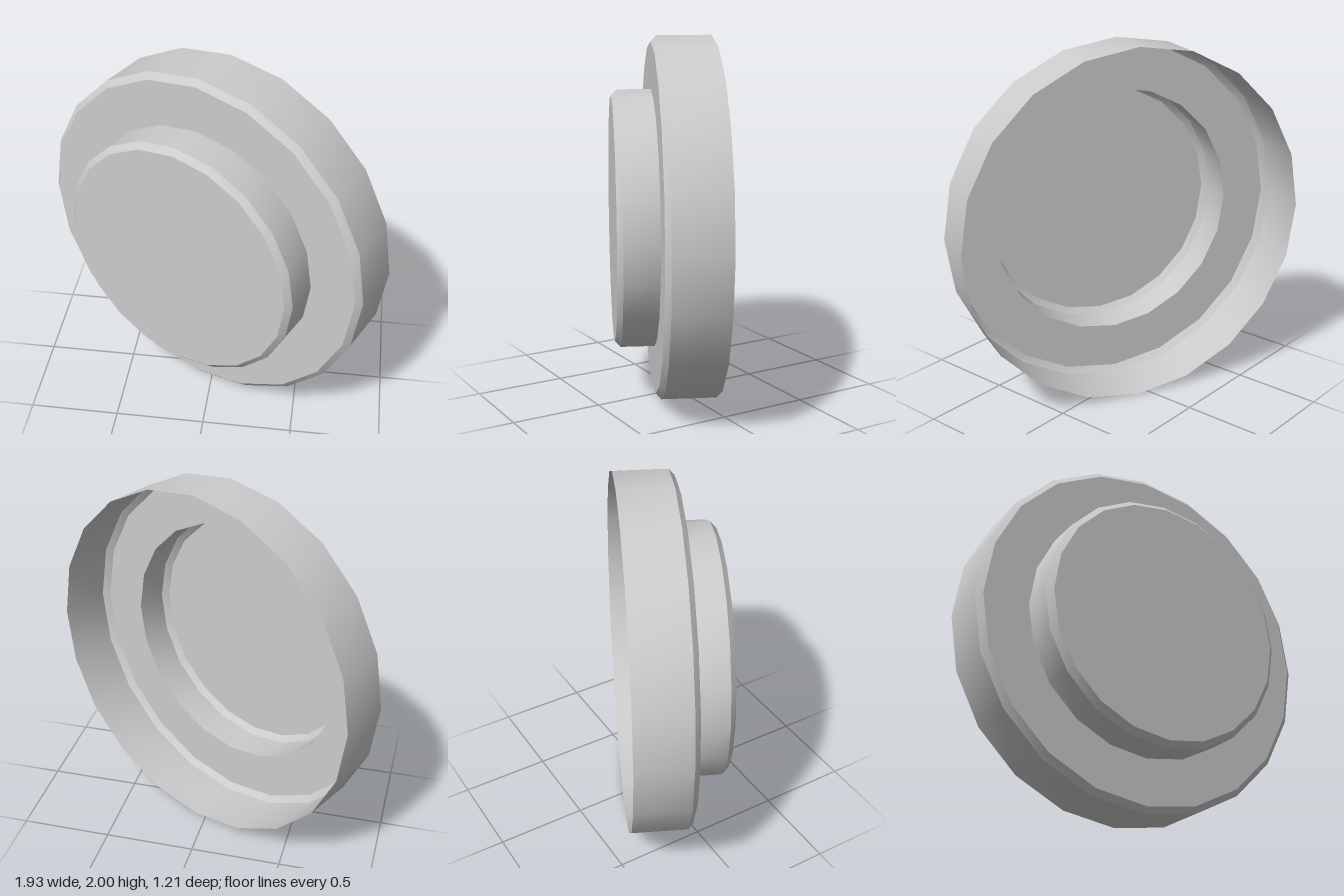
import * as THREE from 'three';
import { toCreasedNormals } from 'three/addons/utils/BufferGeometryUtils.js';

const SIDES = 20;

export function createModel() {
  const model = new THREE.Group();
  const material = new THREE.MeshStandardMaterial({ color: 0xcccccc, side: THREE.DoubleSide });

  // The whole cap is turned about the vertical axis
  const cap = new THREE.Group();
  cap.name = 'steppedCap';
  cap.position.set(-0.02, 1, -0.01);
  cap.rotation.y = THREE.MathUtils.degToRad(-25.5);
  model.add(cap);

  // Thin turned shell; profile points are [radius, depth towards the front]
  const addShell = (name, profile) => {
    const lathe = new THREE.LatheGeometry(profile.map(([r, d]) => new THREE.Vector2(r, d)), SIDES);
    lathe.rotateX(Math.PI / 2);
    const mesh = new THREE.Mesh(toCreasedNormals(lathe, 0.5), material);
    mesh.name = name;
    cap.add(mesh);
  };

  // Wide rim, open at the back, with a bevel and a ring-shaped face
  addShell('outerRim', [[1, -0.19], [1, 0.11], [0.966, 0.14], [0.71, 0.14]]);
  // Raised, hollow centre step with its own bevel
  addShell('raisedStep', [[0.71, 0.14], [0.71, 0.326], [0.677, 0.356]]);

  // Flat front plate
  const plate = new THREE.Mesh(new THREE.CircleGeometry(0.677, SIDES), material);
  plate.name = 'frontPlate';
  plate.position.z = 0.356;
  cap.add(plate);

  return model;
}
